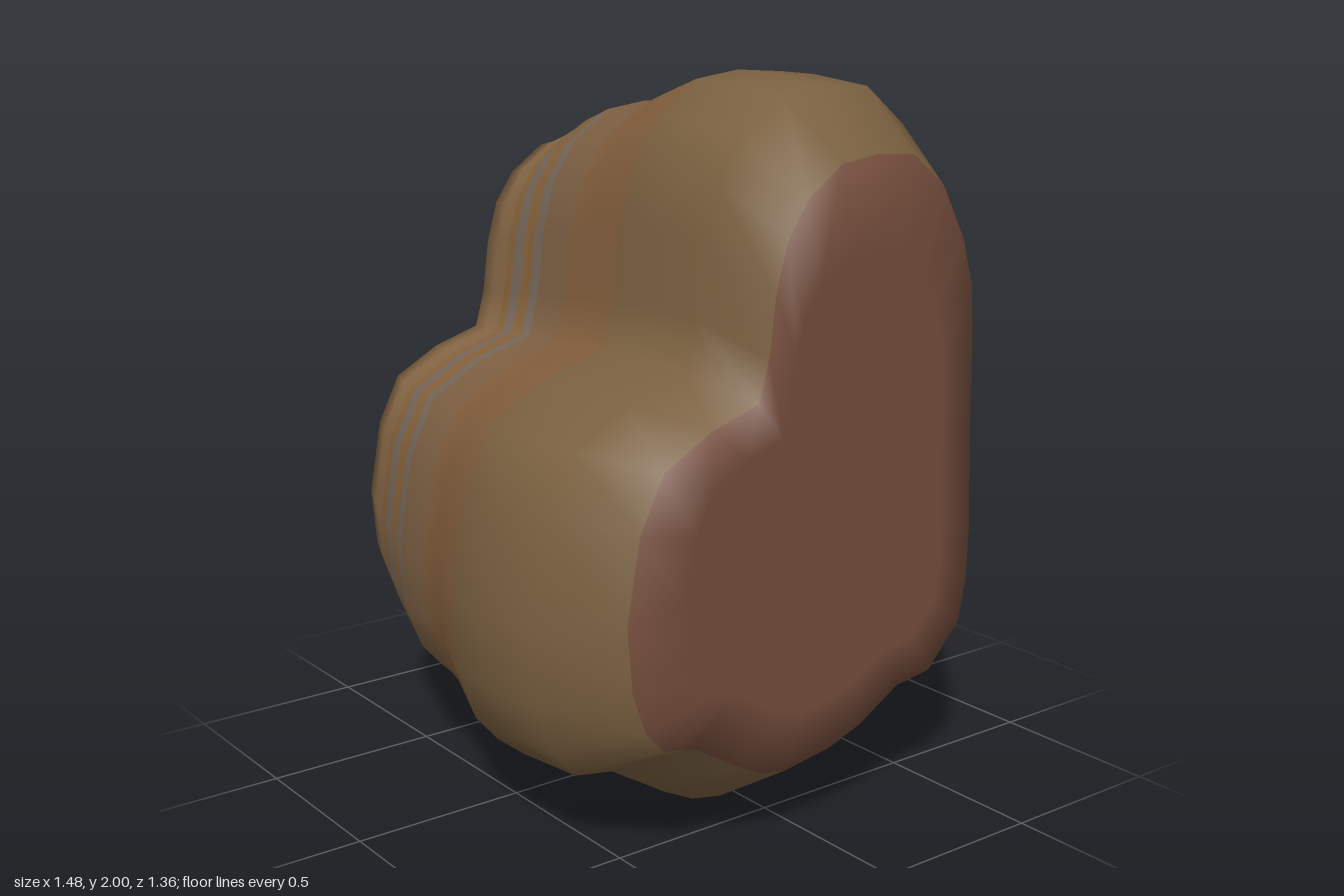
import * as THREE from 'three';

// Outline of the widest slice, anticlockwise from the bottom
const outline = [
  [-0.1, 0], [0.1, 0.03], [0.24, 0.08], [0.41, 0.18], [0.56, 0.2], [0.7, 0.35], [0.73, 0.5],
  [0.735, 0.68], [0.72, 1], [0.715, 1.35], [0.7, 1.54], [0.65, 1.7], [0.55, 1.88], [0.41, 1.99],
  [0.25, 2], [0.1, 1.98], [-0.04, 1.88], [-0.12, 1.76], [-0.165, 1.6], [-0.19, 1.4], [-0.23, 1.26],
  [-0.42, 1.2], [-0.6, 1.1], [-0.69, 0.92], [-0.74, 0.64], [-0.72, 0.42], [-0.67, 0.28],
  [-0.6, 0.2], [-0.48, 0.18], [-0.3, 0.07], [-0.2, 0.02],
];

// Slices from front to back: z, left x, right x, bottom y, top y
const slices = [
  [0.68, -0.605, 0.585, 0.2, 1.82],
  [0.43, -0.725, 0.7, 0.04, 1.98],
  [0.2, -0.74, 0.72, 0.02, 2],
  [0.04, -0.72, 0.735, 0, 2],
  [-0.13, -0.665, 0.685, 0.06, 1.94],
  [-0.23, -0.65, 0.67, 0.09, 1.9],
  [-0.37, -0.64, 0.665, 0.1, 1.89],
  [-0.42, -0.625, 0.65, 0.12, 1.87],
  [-0.47, -0.615, 0.63, 0.15, 1.85],
  [-0.52, -0.605, 0.61, 0.18, 1.82],
  [-0.56, -0.595, 0.595, 0.2, 1.8],
  [-0.62, -0.58, 0.57, 0.24, 1.775],
  [-0.68, -0.56, 0.545, 0.27, 1.76],
];

const core = [0.15, 0.8];

// One ring of points: the outline fitted to a slice, then shrunk towards the core
function ring([z, x0, x1, y0, y1], shrink = 1) {
  return outline.map(([x, y]) => {
    const px = x0 + (x + 0.74) / 1.475 * (x1 - x0);
    const py = y0 + y / 2 * (y1 - y0);
    return [core[0] + (px - core[0]) * shrink, core[1] + (py - core[1]) * shrink, z];
  });
}

export function createModel() {
  const group = new THREE.Group();
  group.name = 'boulder';
  const n = outline.length;
  const first = slices[0], last = slices[slices.length - 1];

  // Rings run from the middle of the front face, along the sides, to the middle of the back
  const rings = [
    ring(first, 0.01), ring(first, 0.75), ...slices.map((s) => ring(s)),
    ring(last, 0.88), ring(last, 0.01),
  ];
  const strip = (r) => {
    const faces = [];
    for (let i = 0; i < n; i++) {
      const j = (i + 1) % n;
      const a = r * n + i, b = r * n + j, c = a + n, d = b + n;
      faces.push(a, c, b, b, c, d);
    }
    return faces;
  };
  const strips = (from, to) => {
    const faces = [];
    for (let r = from; r < to; r++) faces.push(...strip(r));
    // Close the pinhole in the middle of each end
    for (let i = 1; i < n - 1; i++) {
      if (from === 0) faces.push(0, i, i + 1);
      if (to === rings.length - 1) faces.push(to * n, to * n + i + 1, to * n + i);
    }
    return faces;
  };

  // Normals are shared by all bands so the surface stays smooth across them
  const whole = new THREE.BufferGeometry();
  whole.setAttribute('position', new THREE.Float32BufferAttribute(rings.flat(2), 3));
  whole.setIndex(strips(0, rings.length - 1));
  whole.computeVertexNormals();

  // Layers of stone: name, first ring, last ring, colour
  const layers = [
    ['frontFace', 0, 2, 0x744d3c],
    ['frontBody', 2, 5, 0x7a6040],
    ['middleBody', 5, 7, 0x815d3c],
    ['rearBody', 7, 8, 0x7c5f42],
    ['greyBandOuter', 8, 9, 0x756659],
    ['ochreBandOuter', 9, 10, 0x85613a],
    ['greyBandInner', 10, 11, 0x756659],
    ['ochreBandInner', 11, 12, 0x85613a],
    ['rearRim', 12, 14, 0x856645],
    ['backFace', 14, rings.length - 1, 0x856645],
  ];
  for (const [name, from, to, color] of layers) {
    const geometry = new THREE.BufferGeometry();
    geometry.setAttribute('position', whole.getAttribute('position'));
    geometry.setAttribute('normal', whole.getAttribute('normal'));
    geometry.setIndex(strips(from, to));
    const mesh = new THREE.Mesh(geometry, new THREE.MeshStandardMaterial({ color }));
    mesh.name = name;
    group.add(mesh);
  }
  return group;
}
